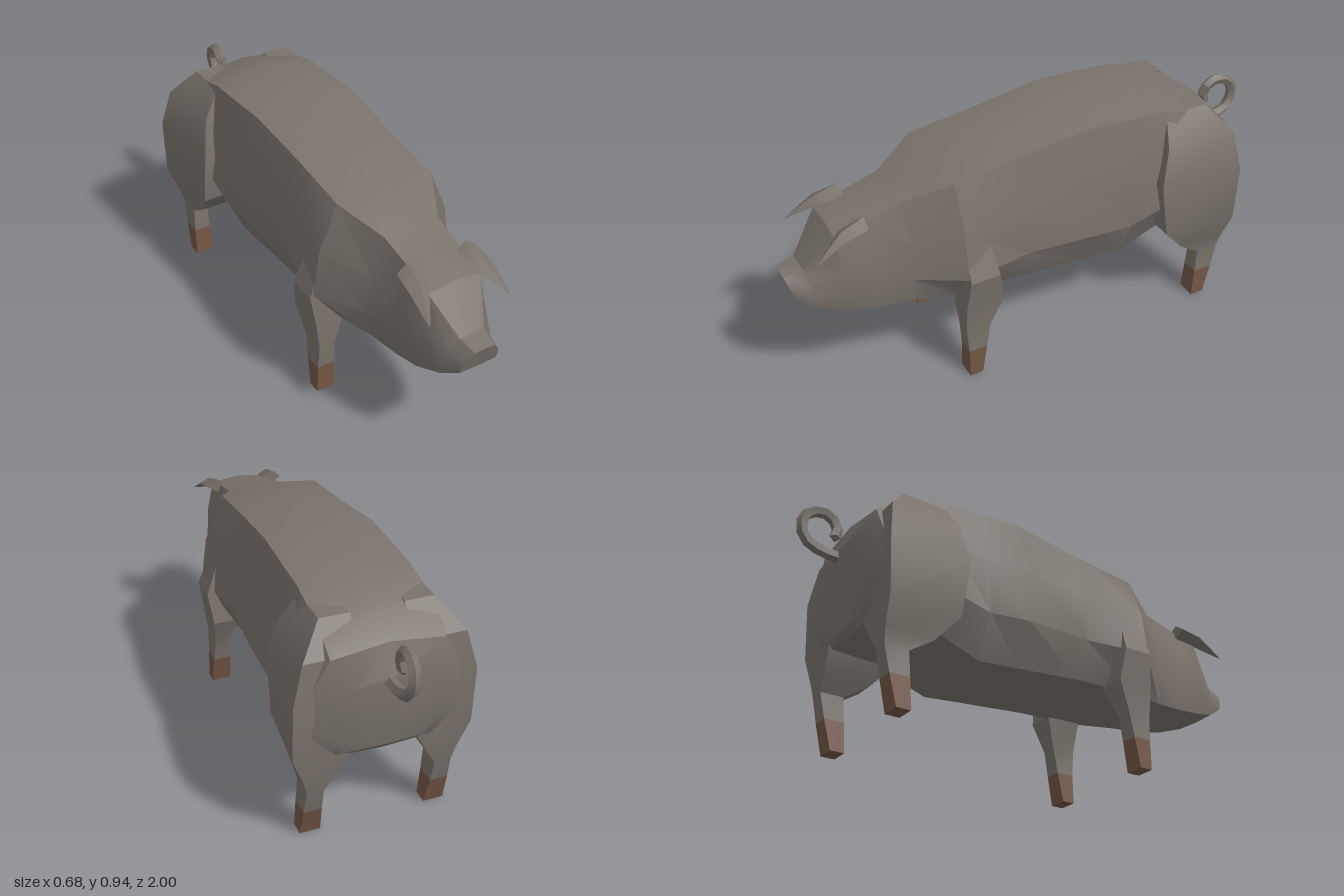
import * as THREE from 'three';
import { toCreasedNormals } from 'three/addons/utils/BufferGeometryUtils.js';

const hide = new THREE.MeshStandardMaterial({ color: 0x79726a });
hide.name = 'greyHide';
const horn = new THREE.MeshStandardMaterial({ color: 0x735645 });
horn.name = 'brownHoof';

// Skin a list of equal-length rings, capping both ends
function loft(rings) {
  const n = rings[0].length, idx = [];
  for (let s = 0; s < rings.length - 1; s++) {
    for (let i = 0; i < n; i++) {
      const a = s * n + i, b = s * n + (i + 1) % n;
      idx.push(a, a + n, b, b, a + n, b + n);
    }
  }
  const last = (rings.length - 1) * n;
  for (let i = 1; i < n - 1; i++) {
    idx.push(0, i, i + 1, last, last + i + 1, last + i);
  }
  const g = new THREE.BufferGeometry();
  g.setAttribute('position', new THREE.Float32BufferAttribute(rings.flat(2), 3));
  g.setIndex(idx);
  return toCreasedNormals(g, 0.5);
}

const flip = rings => rings.map(r => r.map(([x, y, z]) => [-x, y, z]).reverse());

function add(group, name, geometry, material) {
  const m = new THREE.Mesh(geometry, material);
  m.name = name;
  group.add(m);
}

// Add a part on the left side and its mirror image on the right
function addPair(group, name, rings, material) {
  add(group, 'left' + name, loft(rings), material);
  add(group, 'right' + name, loft(flip(rings)), material);
}

// Leg section: y, inner x, outer x, front z, back z, inset of the outer front corner
const legRing = ([y, xi, xo, zf, zb, inset = 0]) =>
  [[xo - inset, y, zf], [xo, y, zb], [xi, y, zb], [xi, y, zf]];

// Ear section: a diamond with centre x, y, z, half width and half thickness
const earRing = ([x, y, z, w, t]) =>
  [[x + w, y, z], [x, y + t, z], [x - w, y, z], [x, y - t, z]];

// Body section: z, lean, spine y, belly y, then half widths of back, flank and belly
function bodyRing([z, lean, top, bottom, back, flank, belly]) {
  const backY = top - 0.13 * back;
  const flankY = bottom + 0.27 * (top - bottom);
  const side = [
    [belly, bottom + 0.05 * belly],
    [flank, flankY],
    [0.25 * back + 0.75 * flank, (backY + flankY) / 2],
    [back, backY],
  ];
  const outline = [
    [0, bottom], ...side, [0, top],
    ...side.reverse().map(([x, y]) => [-x, y]),
  ];
  return outline.map(([x, y]) => [x, y, z + lean * (y - 0.5)]);
}

export function createModel() {
  const pig = new THREE.Group();
  pig.name = 'pig';

  // Snout, head and trunk in one skin
  add(pig, 'body', loft([
    [0.99, 0.3, 0.55, 0.45, 0.04, 0.076, 0.076],
    [0.92, 0.2, 0.565, 0.40, 0.05, 0.105, 0.10],
    [0.81, 0.05, 0.715, 0.37, 0.11, 0.147, 0.13],
    [0.70, 0, 0.752, 0.355, 0.11, 0.157, 0.145],
    [0.56, 0, 0.79, 0.345, 0.115, 0.18, 0.16],
    [0.39, 0, 0.87, 0.335, 0.20, 0.30, 0.20],
    [0.12, 0, 0.905, 0.325, 0.20, 0.26, 0.20],
    [-0.16, 0, 0.945, 0.302, 0.21, 0.28, 0.20],
    [-0.33, 0, 0.938, 0.287, 0.213, 0.275, 0.20],
    [-0.49, 0, 0.93, 0.345, 0.213, 0.275, 0.20],
    [-0.68, 0, 0.885, 0.35, 0.215, 0.32, 0.22],
    [-0.77, -0.05, 0.805, 0.355, 0.21, 0.32, 0.22],
    [-0.80, -0.15, 0.69, 0.38, 0.13, 0.20, 0.15],
  ].map(bodyRing)), hide);

  // Front legs with shoulders
  addPair(pig, 'FrontLeg', [
    [0.62, 0.16, 0.255, 0.385, 0.29],
    [0.47, 0.17, 0.314, 0.39, 0.27],
    [0.34, 0.18, 0.295, 0.402, 0.25],
    [0.22, 0.216, 0.28, 0.40, 0.30],
    [0.12, 0.214, 0.284, 0.393, 0.318],
  ].map(legRing), hide);
  addPair(pig, 'FrontHoof', [
    [0.12, 0.214, 0.284, 0.393, 0.318],
    [0, 0.208, 0.287, 0.393, 0.34],
  ].map(legRing), horn);

  // Hind legs with haunches
  addPair(pig, 'HindLeg', [
    [0.88, 0.10, 0.212, -0.50, -0.68],
    [0.77, 0.10, 0.30, -0.475, -0.765, 0.02],
    [0.62, 0.10, 0.34, -0.44, -0.785, 0.03],
    [0.39, 0.12, 0.34, -0.475, -0.775, 0.03],
    [0.28, 0.18, 0.295, -0.57, -0.765, 0.01],
    [0.22, 0.216, 0.28, -0.662, -0.757],
    [0.12, 0.214, 0.284, -0.655, -0.735],
  ].map(legRing), hide);
  addPair(pig, 'HindHoof', [
    [0.12, 0.214, 0.284, -0.655, -0.735],
    [0, 0.208, 0.287, -0.648, -0.705],
  ].map(legRing), horn);

  // Pointed ears hanging forward over the brow
  addPair(pig, 'Ear', [
    [0.165, 0.65, 0.91, 0.003, 0.003],
    [0.132, 0.715, 0.80, 0.04, 0.02],
    [0.122, 0.735, 0.71, 0.042, 0.03],
  ].map(earRing), hide);

  // Curled tail: a straight root running into a tightening spiral
  const path = [new THREE.Vector3(0.01, 0.67, -0.79)];
  for (let i = 0; i <= 7; i++) {
    const t = i * 0.75, r = 0.08 - 0.004 * t;
    path.push(new THREE.Vector3(
      0.01 - 0.006 * t, 0.76 - r * Math.cos(t), -0.903 - r * Math.sin(t)));
  }
  const curve = new THREE.CatmullRomCurve3(path);
  add(pig, 'tail', toCreasedNormals(new THREE.TubeGeometry(curve, 12, 0.022, 5), 0.5), hide);

  // Tail tip closes the end of the curl
  const tip = new THREE.OctahedronGeometry(0.022);
  tip.translate(...path.at(-1).toArray());
  add(pig, 'tailTip', tip, hide);

  return pig;
}
